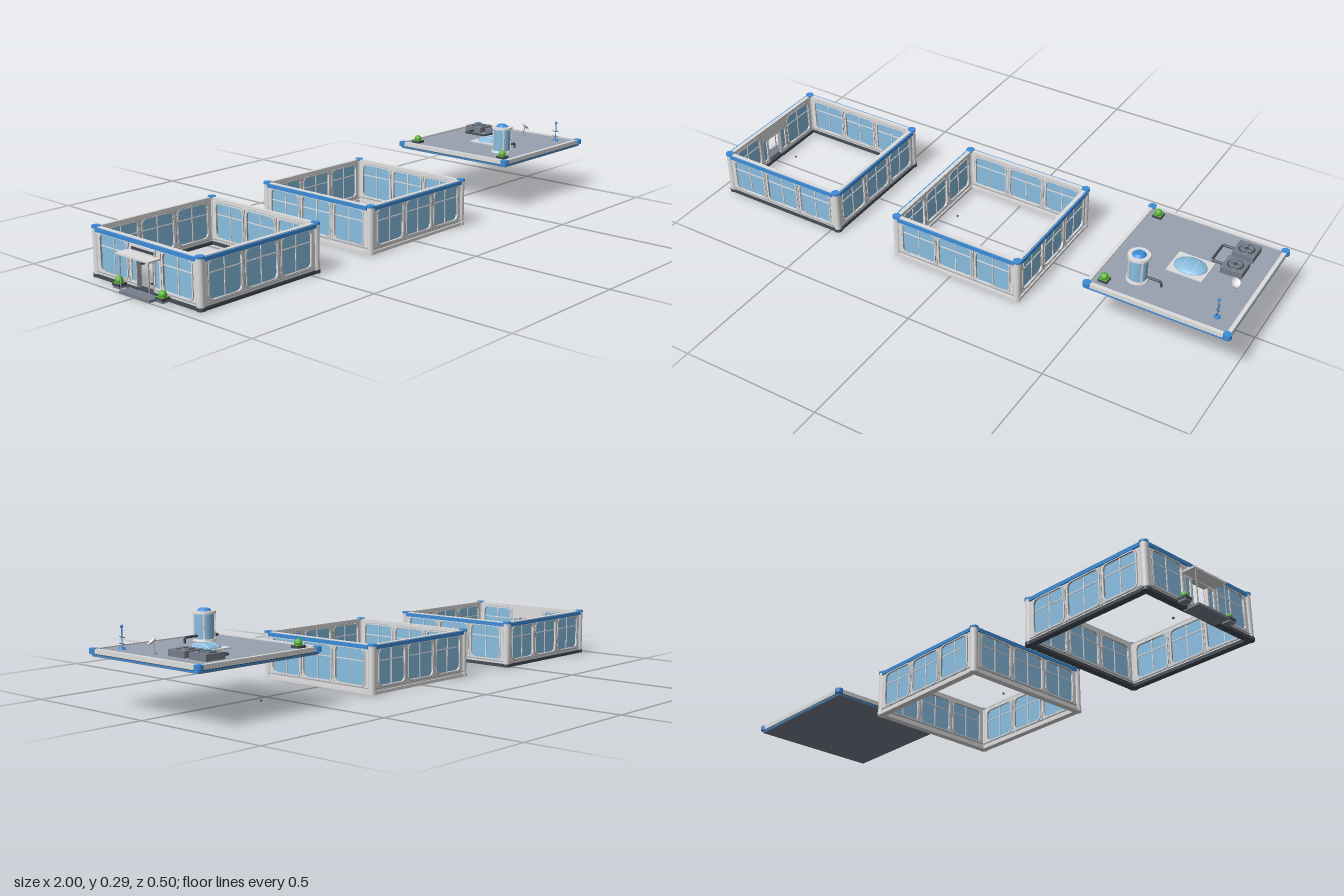
import * as THREE from 'three';

const mat = (name, color, side = THREE.FrontSide) => {
  const m = new THREE.MeshStandardMaterial({ color, side });
  m.name = name;
  return m;
};

export function createModel() {
  const wallGrey = mat('wall grey', 0xdededf);
  const trimGrey = mat('trim grey', 0xa6a7ab);
  const glass = mat('glass blue', 0x88bde0);
  const blue = mat('trim blue', 0x3b8cd8);
  const dark = mat('dark grey', 0x454c56);
  const deckGrey = mat('deck grey', 0x98a1b0);
  const unitGrey = mat('unit grey', 0x767e8b);
  const green = mat('leaf green', 0x5ab636);
  const dishWhite = mat('dish white', 0xeeeeee, THREE.DoubleSide);

  const add = (parent, name, geo, m, x = 0, y = 0, z = 0) => {
    const mesh = new THREE.Mesh(geo, m);
    mesh.name = name;
    mesh.position.set(x, y, z);
    parent.add(mesh);
    return mesh;
  };
  const group = (parent, name, x = 0, y = 0, z = 0) => {
    const g = new THREE.Group();
    g.name = name;
    g.position.set(x, y, z);
    parent.add(g);
    return g;
  };
  // Box and cylinder placed by bottom and top heights
  const box = (p, name, m, x, z, w, d, y0, y1) =>
    add(p, name, new THREE.BoxGeometry(w, y1 - y0, d), m, x, (y0 + y1) / 2, z);
  const cyl = (p, name, m, x, z, r, y0, y1, rTop = r, n = 20) =>
    add(p, name, new THREE.CylinderGeometry(rTop, r, y1 - y0, n), m, x, (y0 + y1) / 2, z);
  const pipe = (p, name, m, pts, r) => {
    const path = new THREE.CurvePath();
    for (let i = 1; i < pts.length; i++)
      path.add(new THREE.LineCurve3(new THREE.Vector3(...pts[i - 1]), new THREE.Vector3(...pts[i])));
    return add(p, name, new THREE.TubeGeometry(path, 24, r, 8), m);
  };

  const roundRect = (s, x0, y0, x1, y1, r) => {
    s.moveTo(x0 + r, y0);
    s.lineTo(x1 - r, y0); s.quadraticCurveTo(x1, y0, x1, y0 + r);
    s.lineTo(x1, y1 - r); s.quadraticCurveTo(x1, y1, x1 - r, y1);
    s.lineTo(x0 + r, y1); s.quadraticCurveTo(x0, y1, x0, y1 - r);
    s.lineTo(x0, y0 + r); s.quadraticCurveTo(x0, y0, x0 + r, y0);
    return s;
  };
  const extrude = (shape, depth) => {
    const g = new THREE.ExtrudeGeometry(shape, { depth, bevelEnabled: false, curveSegments: 5 });
    return g.translate(0, 0, -depth / 2);
  };
  // Rounded ring of the given width around an opening
  const ring = (x0, y0, x1, y1, r, width, depth) => {
    const s = roundRect(new THREE.Shape(), x0 - width, y0 - width, x1 + width, y1 + width, r + width * 0.75);
    s.holes.push(roundRect(new THREE.Path(), x0, y0, x1, y1, r));
    return extrude(s, depth);
  };

  const H = 0.2365, Y0 = 0.005, W0 = 0.029, W1 = 0.147, TOP = 0.165;

  // One side of a storey, facing +z
  function wall(parent, angle, withDoor, base) {
    const side = group(parent, withDoor ? 'entranceWall' : 'windowWall');
    side.rotation.y = angle;
    const w = group(side, 'wallPanels', 0, 0, H);
    const panel = new THREE.Shape([[-0.228, Y0], [0.228, Y0], [0.228, 0.162], [-0.228, 0.162]]
      .map(p => new THREE.Vector2(...p)));
    for (const cx of [-0.146, 0, 0.146]) {
      if (withDoor && cx === 0) {
        // Open doorway between narrow side lights
        panel.holes.push(roundRect(new THREE.Path(), -0.036, 0.014, 0.036, 0.112, 0.003));
        add(w, 'doorFrame', ring(-0.036, 0.014, 0.036, 0.112, 0.003, 0.003, 0.017), trimGrey);
        for (const x of [-0.0535, 0.0535]) {
          panel.holes.push(roundRect(new THREE.Path(), x - 0.0105, W0, x + 0.0105, 0.112, 0.004));
          box(w, 'sideLight', glass, x, 0, 0.021, 0.004, W0, 0.112);
        }
        continue;
      }
      const x0 = cx - 0.063, x1 = cx + 0.063;
      panel.holes.push(roundRect(new THREE.Path(), x0, W0, x1, W1, 0.018));
      add(w, 'rimOutline', ring(x0, W0, x1, W1, 0.018, 0.0055, 0.0145), trimGrey);
      add(w, 'windowRim', ring(x0, W0, x1, W1, 0.018, 0.004, 0.018), wallGrey);
      box(w, 'windowGlass', glass, cx, 0, 0.126, 0.004, W0, W1);
      box(w, 'mullion', wallGrey, cx, 0, 0.0032, 0.009, W0, W1);
      box(w, 'transom', wallGrey, cx, 0, 0.126, 0.009, 0.1073, 0.1105);
    }
    add(w, 'wallFrame', extrude(panel, 0.013), wallGrey);
    // Joints between panels
    for (const x of [-0.073, 0.073]) box(w, 'panelJoint', trimGrey, x, 0, 0.0025, 0.0145, 0.02, 0.149);
    box(w, 'coping', wallGrey, 0, -0.001, 0.456, 0.014, 0.16, TOP);
    box(w, 'topBand', blue, 0, 0.006, 0.456, 0.012, 0.15, 0.1625);
    // Sill ledge and foot, broken at the doorway
    const runs = withDoor ? [[-0.133, 0.19], [0.133, 0.19]] : [[0, 0.456]];
    for (const [x, len] of runs) {
      box(w, 'sillLedge', trimGrey, x, 0, len, 0.019, 0.021, 0.0235);
      box(w, 'wallFoot', base, x, 0, len, 0.023, 0.003, 0.014);
    }
  }

  function bush(parent, x, y, z) {
    const g = group(parent, 'planter', x, y, z);
    box(g, 'planterBox', dark, 0, 0, 0.032, 0.032, 0, 0.008);
    box(g, 'planterGrass', green, 0, 0, 0.028, 0.028, 0.007, 0.0095);
    add(g, 'foliage', new THREE.IcosahedronGeometry(0.0132, 2), green, 0, 0.0155, 0);
  }

  function storey(parent, name, x, hasDoor) {
    const g = group(parent, name, x);
    const base = hasDoor ? dark : wallGrey;
    for (let i = 0; i < 4; i++) wall(g, i * Math.PI / 2, hasDoor && i === 3, base);
    for (const px of [-H, H]) for (const pz of [-H, H]) {
      cyl(g, 'cornerPost', wallGrey, px, pz, 0.0125, Y0, 0.16);
      cyl(g, 'postFoot', base, px, pz, 0.0145, 0.003, 0.014);
      cyl(g, 'postCap', blue, px, pz, 0.0145, 0.16, 0.167);
    }
    return g;
  }

  const model = new THREE.Group();
  model.name = 'modularBuilding';
  const ground = storey(model, 'groundFloor', -0.711, true);
  storey(model, 'middleFloor', 0.019, false);

  // Entrance on the right side: step, canopy, posts and planters
  const e = group(ground, 'entrance', -H);
  box(e, 'entranceStep', unitGrey, -0.024, 0, 0.057, 0.14, 0, 0.008);
  box(e, 'threshold', dark, 0, 0, 0.02, 0.076, 0.003, 0.0145);
  box(e, 'canopy', wallGrey, -0.029, -0.004, 0.047, 0.15, 0.119, 0.125);
  box(e, 'signPlate', wallGrey, -0.011, 0, 0.005, 0.11, 0.127, 0.147);
  box(e, 'signBar', dark, -0.0145, 0, 0.004, 0.1, 0.133, 0.141);
  for (const s of [-1, 1]) {
    cyl(e, 'canopyPost', trimGrey, -0.047, s * 0.066, 0.002, 0.008, 0.12, 0.002, 8);
    bush(e, -0.026, 0.012, s * 0.1);
    box(e, 'planterStand', unitGrey, -0.026, s * 0.1, 0.028, 0.028, 0.005, 0.012);
  }

  // Roof slab
  const roof = group(model, 'roof', 0.748);
  box(roof, 'roofUnderside', unitGrey, 0, 0, 0.482, 0.482, 0.163, 0.166);
  box(roof, 'roofBand', blue, 0, 0, 0.487, 0.487, 0.1655, 0.17);
  box(roof, 'roofGroove', dark, 0, 0, 0.484, 0.484, 0.17, 0.173);
  box(roof, 'roofDeck', deckGrey, 0, 0, 0.476, 0.476, 0.173, 0.184);
  for (let i = 0; i < 4; i++) {
    const edge = group(roof, 'parapet');
    edge.rotation.y = i * Math.PI / 2;
    box(edge, 'parapetRail', wallGrey, 0, 0.2385, 0.477, 0.013, 0.173, 0.188);
  }
  for (const px of [-0.238, 0.238]) for (const pz of [-0.238, 0.238])
    cyl(roof, 'roofCorner', blue, px, pz, 0.014, 0.172, 0.1885);

  const D = 0.184;
  for (const z of [-0.198, 0.198]) bush(roof, -0.198, D, z);

  // Water tank with ribs and outlet pipe
  const tank = group(roof, 'waterTank', -0.113, 0, 0.134);
  cyl(tank, 'tankBase', wallGrey, 0, 0, 0.038, D, 0.191, 0.036, 28);
  cyl(tank, 'tankBody', glass, 0, 0, 0.031, 0.19, 0.273, 0.031, 28);
  for (let i = 0; i < 4; i++) {
    const a = Math.PI / 4 + i * Math.PI / 2;
    const rib = box(tank, 'tankRib', wallGrey, Math.cos(a) * 0.03, Math.sin(a) * 0.03, 0.009, 0.006, 0.19, 0.273);
    rib.rotation.y = -a;
  }
  cyl(tank, 'tankLid', wallGrey, 0, 0, 0.038, 0.271, 0.279, 0.037, 28);
  cyl(tank, 'tankCap', blue, 0, 0, 0.023, 0.279, 0.287, 0.015);
  pipe(tank, 'outletPipe', dark, [[0.025, 0.202, 0], [0.076, 0.202, 0], [0.082, 0.198, 0], [0.082, D, 0]], 0.0042);

  // Skylight
  const sky = group(roof, 'skylight', 0.008, 0, -0.003);
  box(sky, 'skylightBase', wallGrey, 0, 0, 0.125, 0.107, D, 0.188);
  const domeGeo = () => new THREE.SphereGeometry(1, 28, 10, 0, Math.PI * 2, 0, Math.PI / 2);
  add(sky, 'skylightDome', domeGeo(), glass, 0, 0.187, 0).scale.set(0.056, 0.016, 0.045);
  for (const x of [-0.02, 0.02])
    add(sky, 'skylightRib', domeGeo(), wallGrey, x, 0.187, 0).scale.set(0.003, 0.0163, 0.0435);

  // Cooling units and connecting duct
  for (const z of [-0.158, -0.064]) {
    const u = group(roof, 'coolingUnit', 0.134, 0, z);
    box(u, 'unitBody', unitGrey, 0, 0, 0.074, 0.073, D, 0.205);
    cyl(u, 'fanRing', dark, 0, 0, 0.028, 0.204, 0.2075, 0.025, 24);
    cyl(u, 'fanGrille', unitGrey, 0, 0, 0.022, 0.207, 0.2083, 0.022, 24);
    cyl(u, 'fanHub', dark, 0, 0, 0.007, 0.208, 0.2095, 0.007, 12);
    for (const a of [0, Math.PI / 2])
      box(u, 'fanBar', dark, 0, 0, 0.044, 0.002, 0.208, 0.2088).rotation.y = a;
  }
  pipe(roof, 'duct', dark, [[0.1, 0.19, -0.158], [0.053, 0.19, -0.158], [0.053, 0.19, -0.066], [0.1, 0.19, -0.066]], 0.0045);

  // Satellite dish, tilted outward
  const dish = group(roof, 'satelliteDish', 0.172, 0, 0.033);
  cyl(dish, 'dishFoot', trimGrey, 0, 0, 0.008, D, 0.187);
  pipe(dish, 'dishStalk', trimGrey, [[0, D, -0.004], [0, 0.217, 0.004]], 0.0017);
  const bowl = [[0.0005, 0], [0.007, 0.001], [0.012, 0.0035], [0.0165, 0.008]].map(p => new THREE.Vector2(...p));
  add(dish, 'dishBowl', new THREE.LatheGeometry(bowl, 24), dishWhite, 0, 0.217, 0.004).rotation.set(0.4, 0, -0.55);

  // Antenna mast
  const mast = group(roof, 'antenna', 0.178, 0, 0.178);
  cyl(mast, 'mastFoot', blue, 0, 0, 0.011, D, 0.19, 0.009);
  cyl(mast, 'mastPole', blue, 0, 0, 0.0018, D, 0.252, 0.0018, 8);
  for (const y of [0.2, 0.22]) box(mast, 'crossBar', dark, 0, 0, 0.0018, 0.027, y, y + 0.0018);
  add(mast, 'mastTip', new THREE.SphereGeometry(0.0052, 14, 10), blue, 0, 0.254, 0);

  // Small locating studs, one per module
  for (const x of [-0.889, -0.159, 0.57])
    box(model, 'locatingStud', dark, x, -0.052, 0.005, 0.005, 0.002, 0.007);

  return model;
}
